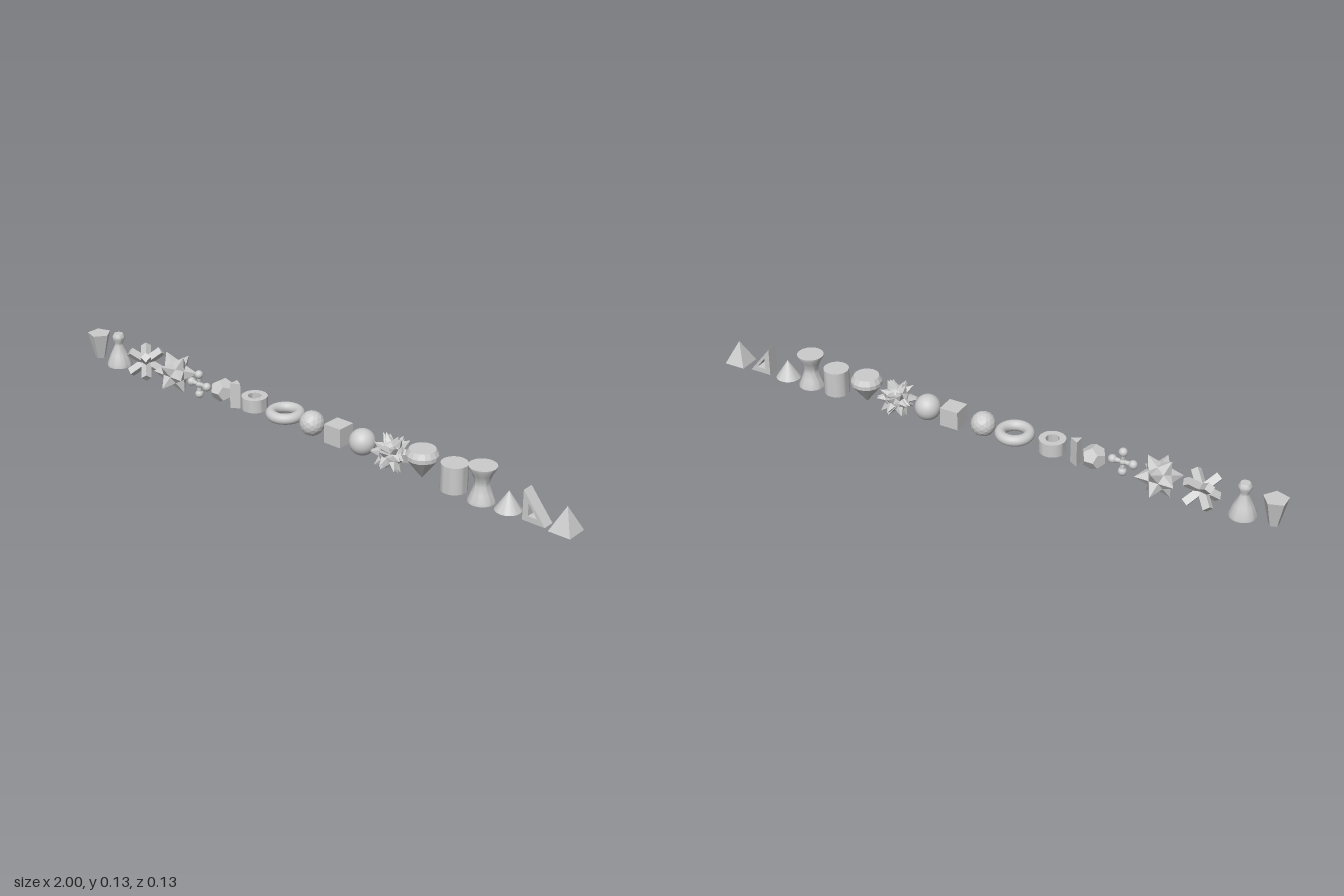
import * as THREE from 'three';
import { toCreasedNormals, mergeGeometries } from 'three/addons/utils/BufferGeometryUtils.js';

const smooth = new THREE.MeshStandardMaterial({ color: 0xcccccc });
const flat = new THREE.MeshStandardMaterial({ color: 0xcccccc, flatShading: true });
const MID = 0.068; // common centre height of the row
const UP = new THREE.Vector3(0, 1, 0);

// Lathe with sharp profile corners
function lathe(points, segments = 32) {
  const pts = points.map(([r, y]) => new THREE.Vector2(r, y));
  return toCreasedNormals(new THREE.LatheGeometry(pts, segments), 0.6);
}

// Place a part so its +y axis points along dir, starting at distance d from the centre
function aim(geometry, dir, d) {
  const n = dir.clone().normalize();
  geometry.applyQuaternion(new THREE.Quaternion().setFromUnitVectors(UP, n));
  return geometry.translate(n.x * d, n.y * d, n.z * d);
}

// Distinct corner directions of a polyhedron
function corners(geometry) {
  const p = geometry.attributes.position;
  const list = [];
  for (let i = 0; i < p.count; i++) {
    const v = new THREE.Vector3().fromBufferAttribute(p, i).normalize();
    if (!list.some((w) => w.distanceTo(v) < 0.01)) list.push(v);
  }
  return list;
}

// Twelve-pointed star: every icosahedron face is sunk at its centre and edge middles
function starGeometry(R) {
  const p = new THREE.IcosahedronGeometry(R, 0).attributes.position;
  const out = [];
  for (let i = 0; i < p.count; i += 3) {
    const v = [0, 1, 2].map((k) => new THREE.Vector3().fromBufferAttribute(p, i + k));
    const g = v[0].clone().add(v[1]).add(v[2]).setLength(R * 0.563);
    for (let k = 0; k < 3; k++) {
      const a = v[k], b = v[(k + 1) % 3];
      const m = a.clone().add(b).setLength(R * 0.526);
      for (const q of [a, m, g, m, b, g]) out.push(q.x, q.y, q.z);
    }
  }
  const geo = new THREE.BufferGeometry();
  geo.setAttribute('position', new THREE.Float32BufferAttribute(out, 3));
  geo.computeVertexNormals();
  return geo;
}

// Eight square arms towards the corners of a cube
function jackGeometry() {
  const arms = corners(new THREE.BoxGeometry(1, 1, 1)).map((d) =>
    aim(new THREE.BoxGeometry(0.024, 0.066, 0.024), d, 0.033));
  return mergeGeometries(arms);
}

// Flat cross of four rounded lobes on thin arms
function lobesGeometry() {
  const parts = [new THREE.SphereGeometry(0.011, 16, 12)];
  for (let i = 0; i < 4; i++) {
    const a = (i * Math.PI) / 2;
    const d = new THREE.Vector3(Math.cos(a), Math.sin(a), 0);
    parts.push(aim(new THREE.CylinderGeometry(0.009, 0.006, 0.03, 12), d, 0.015));
    parts.push(aim(new THREE.SphereGeometry(0.0145, 16, 12), d, 0.035));
  }
  return mergeGeometries(parts);
}

// Ball with spikes on the corners of an icosahedron and a dodecahedron
function spikyGeometry() {
  const dirs = [...corners(new THREE.IcosahedronGeometry(1, 0)), ...corners(new THREE.DodecahedronGeometry(1, 0))];
  const parts = dirs.map((d) => aim(new THREE.ConeGeometry(0.0165, 0.032, 5).toNonIndexed(), d, 0.052));
  parts.push(new THREE.IcosahedronGeometry(0.041, 2));
  return mergeGeometries(parts);
}

// Right-angled triangle with a triangular hole
function triangleFrameGeometry() {
  const tri = (C, x0, y0, x1, y1) => {
    const s = new C();
    s.moveTo(x0, y0);
    s.lineTo(x1, y0);
    s.lineTo(x0, y1);
    s.closePath();
    return s;
  };
  const shape = tri(THREE.Shape, 0.826, 0.021, 0.904, 0.118);
  shape.holes.push(tri(THREE.Path, 0.845, 0.039, 0.877, 0.08));
  return new THREE.ExtrudeGeometry(shape, { depth: 0.04, bevelEnabled: false }).translate(0, 0, -0.02);
}

export function createModel() {
  const model = new THREE.Group();
  const add = (name, geometry, x, y = MID, z = 0, material = flat) => {
    const mesh = new THREE.Mesh(geometry, material);
    mesh.name = name;
    mesh.position.set(x, y, z);
    model.add(mesh);
  };
  const round = (name, geometry, x, y = MID, z = 0) => add(name, geometry, x, y, z, smooth);

  // Left half of the row
  add('pentagonFrustum', new THREE.CylinderGeometry(0.041, 0.018, 0.09, 5).rotateY(Math.PI / 2), -0.968, 0.067);
  round('pawn', lathe([[0, 0.02], [0.043, 0.02], [0.042, 0.03], [0.03, 0.06], [0.014, 0.095],
    [0.014, 0.103], [0.021, 0.118], [0.021, 0.126], [0.015, 0.136], [0, 0.136]]), -0.87, 0);
  add('jack', jackGeometry(), -0.737);
  add('star', starGeometry(0.0765), -0.596);
  round('lobedCross', lobesGeometry(), -0.467, MID, 0.018);
  add('dodecahedron', new THREE.DodecahedronGeometry(0.041, 0).rotateX(Math.PI / 2), -0.377);
  add('triangularPrism', new THREE.CylinderGeometry(0.02, 0.02, 0.088, 3).rotateY(Math.PI / 2), -0.317);
  round('tubeRing', lathe([[0.022, 0.046], [0.043, 0.046], [0.043, 0.09], [0.022, 0.09], [0.022, 0.046]]), -0.234, 0);
  round('torus', new THREE.TorusGeometry(0.046, 0.018, 20, 40).rotateX(Math.PI / 2), -0.101);

  // Right half of the row
  add('facetedBall', new THREE.IcosahedronGeometry(0.041, 2), 0.012);
  add('cube', new THREE.BoxGeometry(0.064, 0.064, 0.064), 0.121);
  round('sphere', new THREE.SphereGeometry(0.043, 32, 20), 0.217);
  add('spikyBall', spikyGeometry(), 0.333);
  add('gem', lathe([[0, 0.022], [0.052, 0.09], [0.052, 0.103], [0.042, 0.12], [0, 0.12]], 16), 0.449, 0);
  round('cylinder', lathe([[0, 0.024], [0.042, 0.024], [0.042, 0.112], [0, 0.112]]), 0.568, 0);
  round('hourglass', lathe([[0, 0.02], [0.043, 0.02], [0.042, 0.027], [0.032, 0.05], [0.024, 0.075],
    [0.024, 0.087], [0.031, 0.11], [0.043, 0.13], [0.044, 0.137], [0, 0.137]]), 0.669, 0);
  round('cone', lathe([[0, 0.024], [0.041, 0.024], [0, 0.087]]), 0.764, 0);
  add('triangleFrame', triangleFrameGeometry(), 0, 0);
  add('pyramid', new THREE.ConeGeometry(0.0523, 0.079, 4).rotateY(Math.PI / 4), 0.962, 0.0655);
  return model;
}
